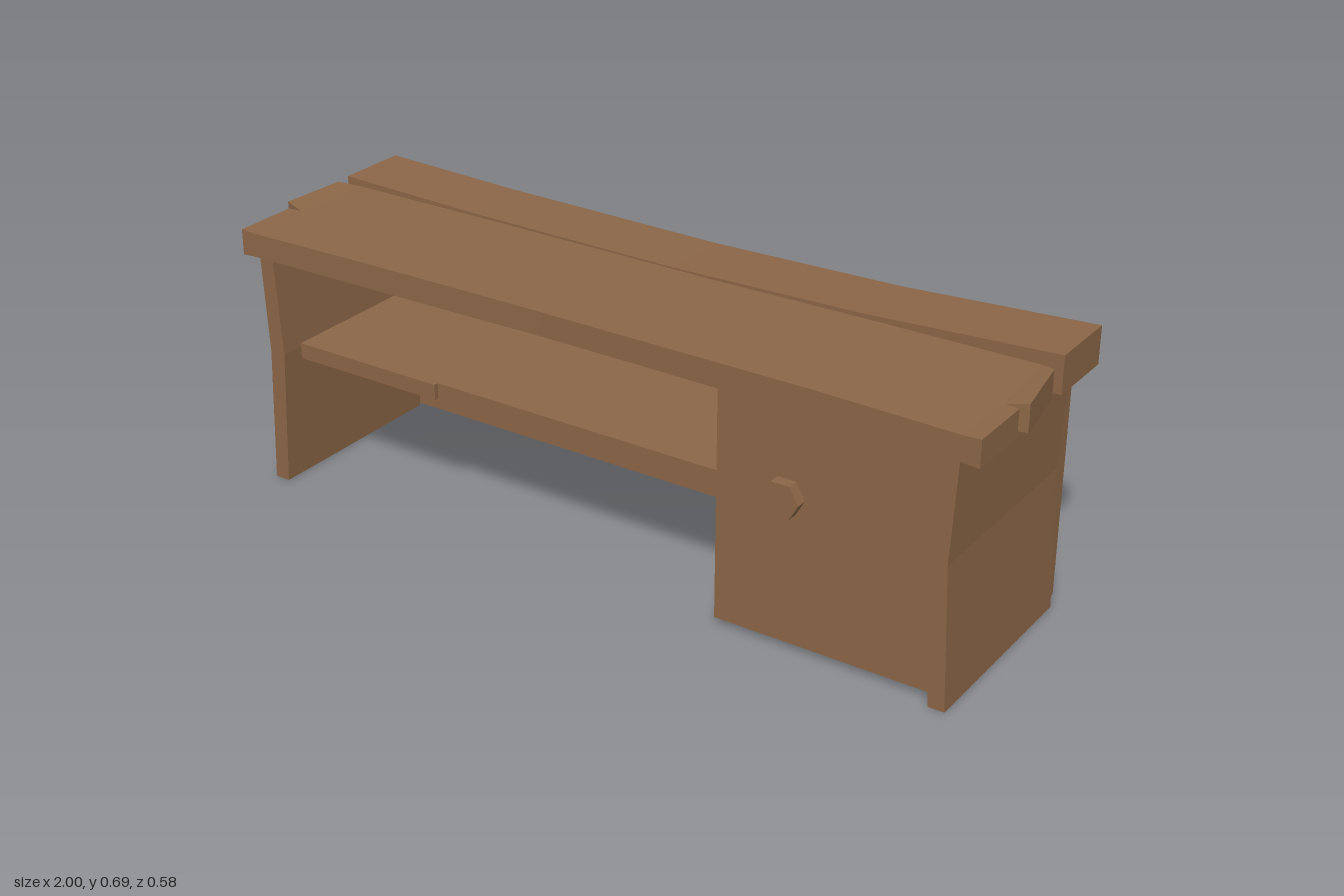
import * as THREE from 'three';

const wood = new THREE.MeshStandardMaterial({ color: 0x8b6647 });
wood.name = 'brownWood';

// Flat-faced plank lofted along x; station: [xFront, zFront, xBack, zBack, yTop, yBottom]
function plankGeometry(stations) {
  const rings = stations.map(([xf, zf, xb, zb, yt, yb]) => [
    [xf, yt, zf], [xb, yt, zb], [xb, yb, zb], [xf, yb, zf],
  ]);
  const pos = [];
  const quad = (a, b, c, d) => pos.push(...a, ...b, ...c, ...a, ...c, ...d);
  for (let s = 0; s < rings.length - 1; s++) {
    const a = rings[s], b = rings[s + 1];
    for (let i = 0; i < 4; i++) {
      const j = (i + 1) % 4;
      quad(a[i], b[i], b[j], a[j]);
    }
  }
  quad(...rings[0]);
  quad(...rings[rings.length - 1].slice().reverse());
  const geo = new THREE.BufferGeometry();
  geo.setAttribute('position', new THREE.Float32BufferAttribute(pos, 3));
  geo.computeVertexNormals();
  return geo;
}

export function createModel() {
  const group = new THREE.Group();
  const add = (name, geo) => {
    const mesh = new THREE.Mesh(geo, wood);
    mesh.name = name;
    group.add(mesh);
    return mesh;
  };
  // Box given by its minimum and maximum corners
  const box = (name, x0, x1, y0, y1, z0, z1) =>
    add(name, new THREE.BoxGeometry(x1 - x0, y1 - y0, z1 - z0))
      .position.set((x0 + x1) / 2, (y0 + y1) / 2, (z0 + z1) / 2);

  // Worn top planks
  add('frontTopPlank', plankGeometry([
    [-0.97, 0.29, -0.97, 0.125, 0.665, 0.6],
    [-0.94, 0.289, -0.94, 0.115, 0.662, 0.602],
    [-0.55, 0.279, -0.55, 0.113, 0.662, 0.6],
    [-0.1, 0.27, -0.1, 0.113, 0.659, 0.6],
    [0.2, 0.271, 0.2, 0.113, 0.659, 0.6],
    [0.6, 0.277, 0.6, 0.113, 0.662, 0.6],
    [0.95, 0.288, 0.95, 0.115, 0.662, 0.602],
    [0.99, 0.29, 0.99, 0.125, 0.665, 0.6],
  ]));
  add('middleTopPlank', plankGeometry([
    [-1, 0.095, -0.99, -0.08, 0.667, 0.6],
    [-0.94, 0.113, -0.93, -0.1, 0.66, 0.606],
    [-0.5, 0.111, -0.5, -0.102, 0.659, 0.602],
    [0.1, 0.111, 0.1, -0.102, 0.656, 0.601],
    [0.55, 0.111, 0.55, -0.102, 0.659, 0.602],
    [0.95, 0.113, 0.93, -0.1, 0.66, 0.606],
    [1, 0.095, 0.97, -0.08, 0.667, 0.6],
  ]));
  add('backTopPlank', plankGeometry([
    [-0.98, -0.105, -0.98, -0.29, 0.676, 0.6],
    [-0.6, -0.105, -0.6, -0.288, 0.665, 0.6],
    [0, -0.105, 0, -0.286, 0.659, 0.6],
    [0.5, -0.105, 0.5, -0.286, 0.668, 0.6],
    [0.98, -0.105, 0.98, -0.29, 0.692, 0.6],
  ]));

  // Side panels, slightly pinched inward at mid height
  for (const [name, side] of [['leftSidePanel', 1], ['rightSidePanel', -1]]) {
    const outline = [[0.9, 0], [0.94, 0], [0.925, 0.35], [0.937, 0.6], [0.897, 0.6], [0.882, 0.35]];
    const shape = new THREE.Shape(outline.map(([x, y]) => new THREE.Vector2(side * x, y)));
    const geo = new THREE.ExtrudeGeometry(shape, { depth: 0.515, bevelEnabled: false });
    geo.translate(0, 0, -0.245);
    add(name, geo);
  }

  // Back panel
  box('backPanel', -0.925, 0.925, 0.007, 0.6, -0.287, -0.246);

  // Cabinet, open underneath: front and inner wall
  box('cabinetFront', 0.35, 0.9, 0.018, 0.6, 0.225, 0.245);
  box('cabinetInnerWall', 0.35, 0.37, 0.018, 0.6, -0.246, 0.225);

  // Shelf in two boards with a small step at the joint
  box('shelfWideBoard', -0.88, -0.46, 0.32, 0.36, -0.246, 0.212);
  box('shelfBoard', -0.46, 0.35, 0.32, 0.36, -0.246, 0.2);

  // Six-sided knob
  const knob = new THREE.CylinderGeometry(0.046, 0.046, 0.03, 6).toNonIndexed();
  knob.computeVertexNormals();
  knob.rotateY(Math.PI / 2);
  knob.rotateX(Math.PI / 2);
  add('knob', knob).position.set(0.527, 0.38, 0.258);

  return group;
}
